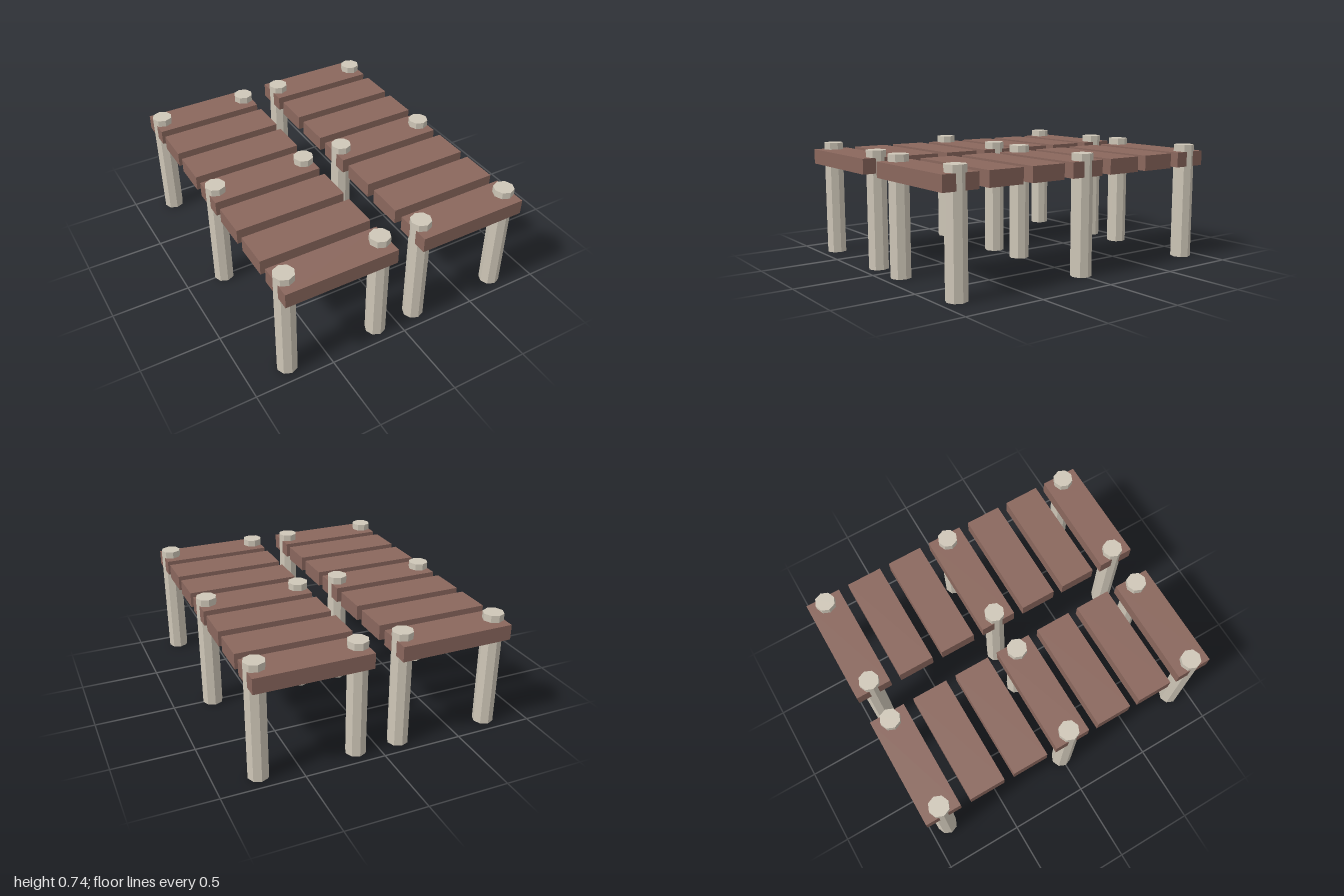
import * as THREE from 'three';

export function createModel() {
  const model = new THREE.Group();
  model.name = 'twinPlankDock';

  const wood = new THREE.MeshStandardMaterial({ color: 0x8a675d });
  wood.name = 'brown wood';
  const pale = new THREE.MeshStandardMaterial({ color: 0xcfc7b8 });
  pale.name = 'pale post';

  const plankGeometry = new THREE.BoxGeometry(0.709, 0.095, 0.23);
  const postHeight = 0.738;
  // Eight flat sides, with corners on the x and z axes
  const postGeometry = new THREE.CylinderGeometry(0.064, 0.064, postHeight, 8).toNonIndexed();
  postGeometry.computeVertexNormals();

  const spacing = 0.295;

  function addSection(name, x) {
    const section = new THREE.Group();
    section.name = name;
    section.position.x = x;
    model.add(section);

    // Seven evenly spaced deck boards
    for (let i = -3; i <= 3; i++) {
      const plank = new THREE.Mesh(plankGeometry, wood);
      plank.name = 'plank';
      plank.position.set(0, 0.647, i * spacing);
      section.add(plank);
    }

    // Pairs of posts through the end boards and the middle board
    for (const i of [-3, 0, 3]) {
      for (const side of [-1, 1]) {
        const post = new THREE.Mesh(postGeometry, pale);
        post.name = 'post';
        post.position.set(side * 0.3025, postHeight / 2, i * spacing);
        section.add(post);
      }
    }
  }

  addSection('rightSection', -0.443);
  addSection('leftSection', 0.44);
  return model;
}
